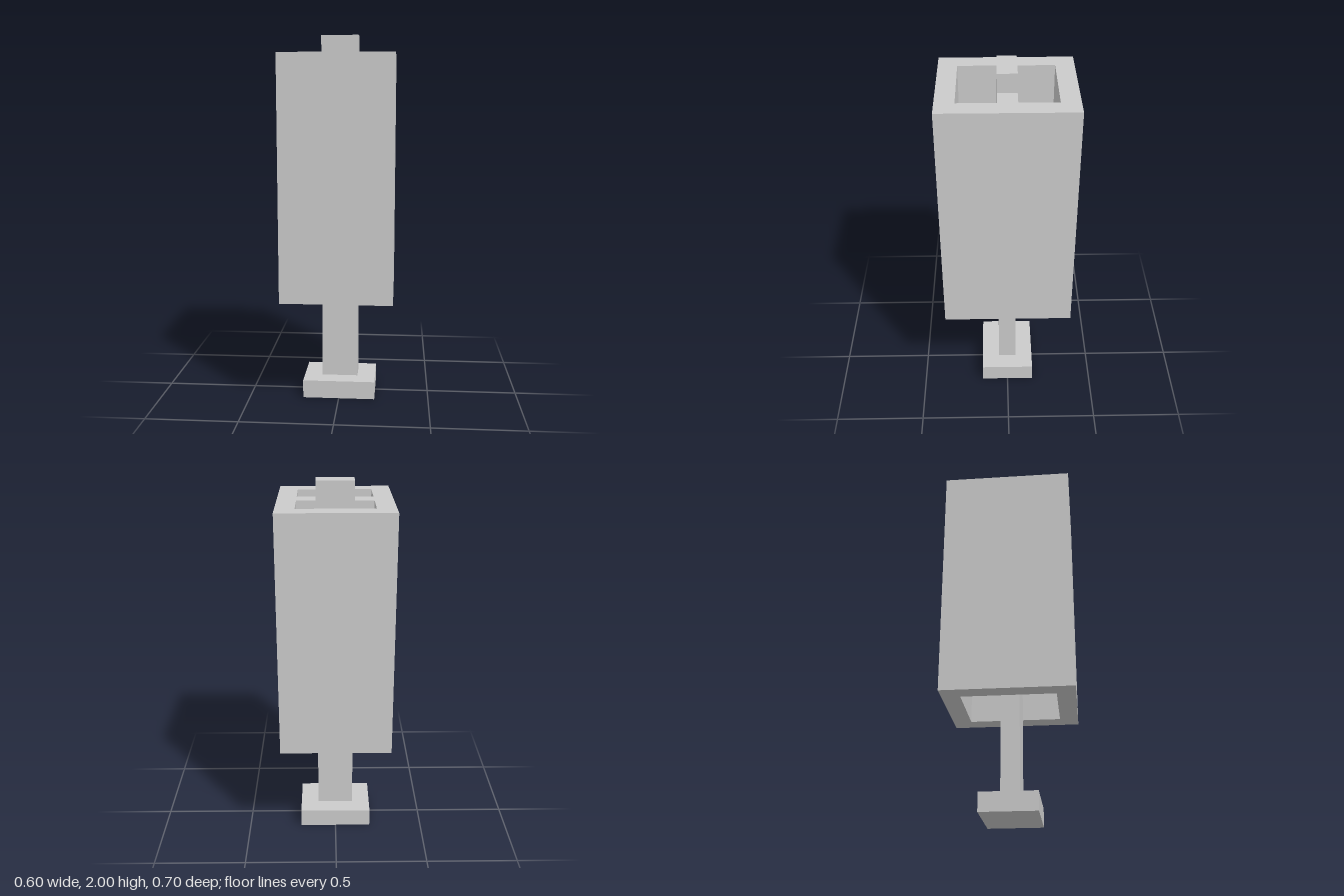
import * as THREE from 'three';

const material = new THREE.MeshStandardMaterial({ color: 0xcccccc, flatShading: true });

// Rectangle outline centred on (0, z)
function rectangle(Type, width, depth, z = 0) {
  const x = width / 2, d = depth / 2;
  return new Type([[-x, z - d], [x, z - d], [x, z + d], [-x, z + d]].map(p => new THREE.Vector2(...p)));
}

// Rectangular slab between two heights, pierced by vertical openings
function slab(name, width, depth, bottom, top, openings) {
  const shape = rectangle(THREE.Shape, width, depth);
  shape.holes = openings.map(o => rectangle(THREE.Path, ...o));
  const geometry = new THREE.ExtrudeGeometry(shape, { depth: top - bottom, bevelEnabled: false });
  geometry.rotateX(-Math.PI / 2).translate(0, bottom, 0);
  const mesh = new THREE.Mesh(geometry, material);
  mesh.name = name;
  return mesh;
}

function box(name, width, depth, bottom, top) {
  const mesh = new THREE.Mesh(new THREE.BoxGeometry(width, top - bottom, depth), material);
  mesh.position.y = (bottom + top) / 2;
  mesh.name = name;
  return mesh;
}

export function createModel() {
  const model = new THREE.Group();
  model.name = 'plungerInSleeve';

  // Sleeve: open at the bottom, slotted inner plate, two pockets at the top
  const sleeve = new THREE.Group();
  sleeve.name = 'sleeve';
  sleeve.add(
    slab('lowerRim', 0.6, 0.7, 0.6, 0.8, [[0.4, 0.5]]),
    slab('slottedPlate', 0.6, 0.7, 0.8, 1.0, [[0.2, 0.3]]),
    slab('middleWall', 0.6, 0.7, 1.0, 1.7, [[0.4, 0.5]]),
    slab('topWithCrossbar', 0.6, 0.7, 1.7, 1.9, [[0.4, 0.2, -0.15], [0.4, 0.2, 0.15]])
  );

  // Plunger: flat rod running through the sleeve on a foot
  const plunger = new THREE.Group();
  plunger.name = 'plunger';
  plunger.add(box('rod', 0.2, 0.1, 0.1, 2), box('foot', 0.4, 0.3, 0, 0.1));

  model.add(sleeve, plunger);
  return model;
}
